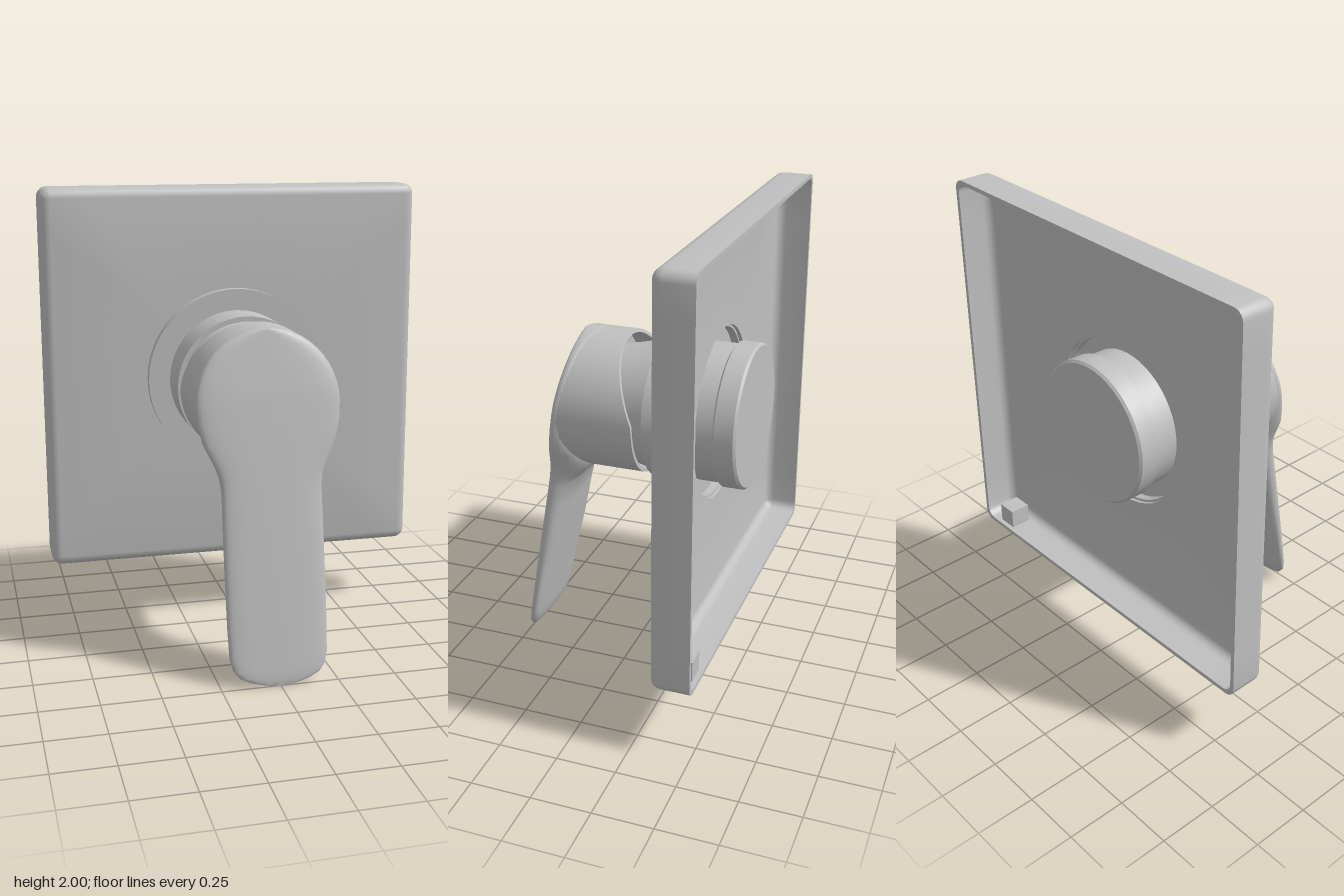
import * as THREE from 'three';
import { toCreasedNormals } from 'three/addons/utils/BufferGeometryUtils.js';

const V = (x, y, z) => new THREE.Vector3(x, y, z);
const AXIS_Y = 1.15;

// Skins a list of equal-length rings; ends may be capped, or the last ring joined to the first
function loft(rings, { capStart = false, capEnd = false, closed = false, crease = 0.6 } = {}) {
  const n = rings[0].length, pos = [], index = [];
  rings.forEach((ring) => ring.forEach((p) => pos.push(p.x, p.y, p.z)));
  const last = closed ? rings.length : rings.length - 1;
  for (let i = 0; i < last; i++) {
    const r0 = i * n, r1 = ((i + 1) % rings.length) * n;
    for (let j = 0; j < n; j++) {
      const k = (j + 1) % n;
      index.push(r0 + j, r0 + k, r1 + k, r0 + j, r1 + k, r1 + j);
    }
  }
  const cap = (row, flip) => {
    const c = V(0, 0, 0);
    rings[row].forEach((p) => c.addScaledVector(p, 1 / n));
    const id = pos.length / 3;
    pos.push(c.x, c.y, c.z);
    for (let j = 0; j < n; j++) {
      const a = row * n + j, b = row * n + (j + 1) % n;
      index.push(id, flip ? b : a, flip ? a : b);
    }
  };
  if (capStart) cap(0, true);
  if (capEnd) cap(rings.length - 1, false);
  const g = new THREE.BufferGeometry();
  g.setAttribute('position', new THREE.Float32BufferAttribute(pos, 3));
  g.setIndex(index);
  return toCreasedNormals(g, crease);
}

// Turned part around the z axis from [radius, z] points, listed back to front
function turned(profile) {
  const g = new THREE.LatheGeometry(profile.map(([r, z]) => new THREE.Vector2(r, z)), 48);
  g.rotateX(Math.PI / 2).translate(0, AXIS_Y, 0);
  g.deleteAttribute('normal');
  return toCreasedNormals(g, 0.5);
}

// Rounded square outline, with each side subdivided
function squareRing(half, radius, z) {
  const ring = [], c = half - radius;
  for (let k = 0; k < 4; k++) {
    const arc = [];
    const start = k * Math.PI / 2;
    const corner = start + Math.PI / 4;
    const cx = Math.sign(Math.cos(corner)) * c, cy = Math.sign(Math.sin(corner)) * c;
    for (let i = 0; i <= 5; i++) {
      const a = start + (i / 5) * Math.PI / 2;
      arc.push(V(cx + radius * Math.cos(a), AXIS_Y + cy + radius * Math.sin(a), z));
    }
    ring.push(...arc);
    const end = arc[5], step = V(-Math.sin(start + Math.PI / 2), Math.cos(start + Math.PI / 2), 0);
    for (let i = 1; i < 12; i++) ring.push(end.clone().addScaledVector(step, 2 * c * i / 12));
  }
  return ring;
}

// Hollow wall plate, open at the back, with a round hole
function plateGeometry() {
  const shell = (half, radius, front) => {
    const rings = [squareRing(half, radius, -0.5)];
    for (let i = 0; i <= 5; i++) {
      const a = (i / 5) * Math.PI / 2, inset = radius * 0.95 * (1 - Math.cos(a));
      rings.push(squareRing(half - inset, radius - inset, front - radius * (1 - Math.sin(a))));
    }
    return rings;
  };
  const hole = (z) => squareRing(0.85, 0.04, z).map((p) => {
    const a = Math.atan2(p.y - AXIS_Y, p.x);
    return V(0.37 * Math.cos(a), AXIS_Y + 0.37 * Math.sin(a), z);
  });
  return loft([...shell(0.85, 0.045, -0.33), hole(-0.33), hole(-0.35),
    ...shell(0.832, 0.04, -0.35).reverse()], { closed: true });
}

// Sloping front and oblique back of the handle
const frontZ = (y) => (y > 1.2 ? 0.31 - (y - 1.2) * 0.2 : 0.31 + (1.2 - y) * 0.165);
const backZ = (y) => -0.055 + Math.max(0, y - 1.15) * 0.37;
const HUB_Y = 1.155, HUB_R = 0.305;

function hubGeometry() {
  const ring = (r, zOf) => Array.from({ length: 56 }, (_, i) => {
    const a = i / 56 * Math.PI * 2, y = HUB_Y + r * Math.sin(a);
    return V(r * Math.cos(a), y, zOf(y));
  });
  return loft([ring(0.287, () => 0.12), ring(0.287, backZ), ring(0.303, backZ),
    ring(0.303, (y) => frontZ(y) - 0.035)], { capStart: true, capEnd: true });
}

function leverGeometry() {
  // [y, half width, back z] down the lever
  const rows = [];
  for (let i = 0; i < 12; i++) {
    const a = (1 - i / 12) * Math.PI / 2 * 0.985, y = HUB_Y + HUB_R * Math.sin(a);
    rows.push([y, HUB_R * Math.cos(a), frontZ(y) - 0.08]);
  }
  rows.push([1.155, 0.305, 0.23], [1.08, 0.3, 0.22], [1.0, 0.282, 0.19], [0.95, 0.258, 0.165],
    [0.9, 0.233, 0.165], [0.86, 0.219, 0.19], [0.82, 0.213, 0.235], [0.78, 0.212, 0.27],
    [0.68, 0.213, 0.295], [0.47, 0.214, 0.34], [0.245, 0.213, 0.4], [0.12, 0.209, 0.425],
    [0.07, 0.196, 0.44], [0.04, 0.17, 0.456], [0.02, 0.125, 0.472], [0.008, 0.075, 0.484], [0, 0.03, 0.492]);
  const rings = rows.map(([y, w, b]) => {
    const f = Math.min(frontZ(y), 0.502), rim = Math.max(f - 0.035, (f + b) / 2);
    return Array.from({ length: 40 }, (_, i) => {
      const a = i / 40 * Math.PI * 2, c = Math.cos(a), s = Math.sin(a);
      const e = s > 0 ? 0.6 : 0.8;
      const z = s > 0 ? (f - rim) * Math.abs(s) ** e : -(rim - b) * Math.abs(s) ** e;
      return V(w * Math.sign(c) * Math.abs(c) ** e, y, rim + z);
    });
  });
  return loft(rings, { capStart: true, capEnd: true, crease: 0.75 });
}

export function createModel() {
  const model = new THREE.Group();
  model.name = 'wallMixerTap';
  const metal = new THREE.MeshStandardMaterial({ color: 0xc0c0c0 });
  metal.name = 'satin metal';
  const add = (name, geometry, parent = model) => {
    const mesh = new THREE.Mesh(geometry, metal);
    mesh.name = name;
    parent.add(mesh);
    return mesh;
  };

  add('wallPlate', plateGeometry());
  add('drainBlock', new THREE.BoxGeometry(0.09, 0.09, 0.09)).position.set(0.71, 0.36, -0.435);

  // Valve body, seen through the hole at the back
  add('cartridge', turned([[0, -0.5], [0.3, -0.5], [0.31, -0.49], [0.31, -0.41], [0.295, -0.4], [0.295, -0.295]]));
  add('flange', turned([[0.29, -0.3], [0.36, -0.3], [0.36, -0.335], [0.4, -0.335], [0.4, -0.29], [0.3, -0.29]]));
  add('sleeve', turned([[0.305, -0.295], [0.305, -0.1], [0.28, -0.1]]));
  add('neck', turned([[0.285, -0.11], [0.25, 0.04], [0.235, 0.13], [0, 0.13]]));

  // Handle
  const handle = new THREE.Group();
  handle.name = 'handle';
  model.add(handle);
  add('hub', hubGeometry(), handle);
  add('lever', leverGeometry(), handle);
  const plug = add('screwPlug', new THREE.SphereGeometry(0.055, 24, 12), handle);
  plug.scale.y = 0.35;
  plug.position.set(0, 0.852, 0.14);
  return model;
}
